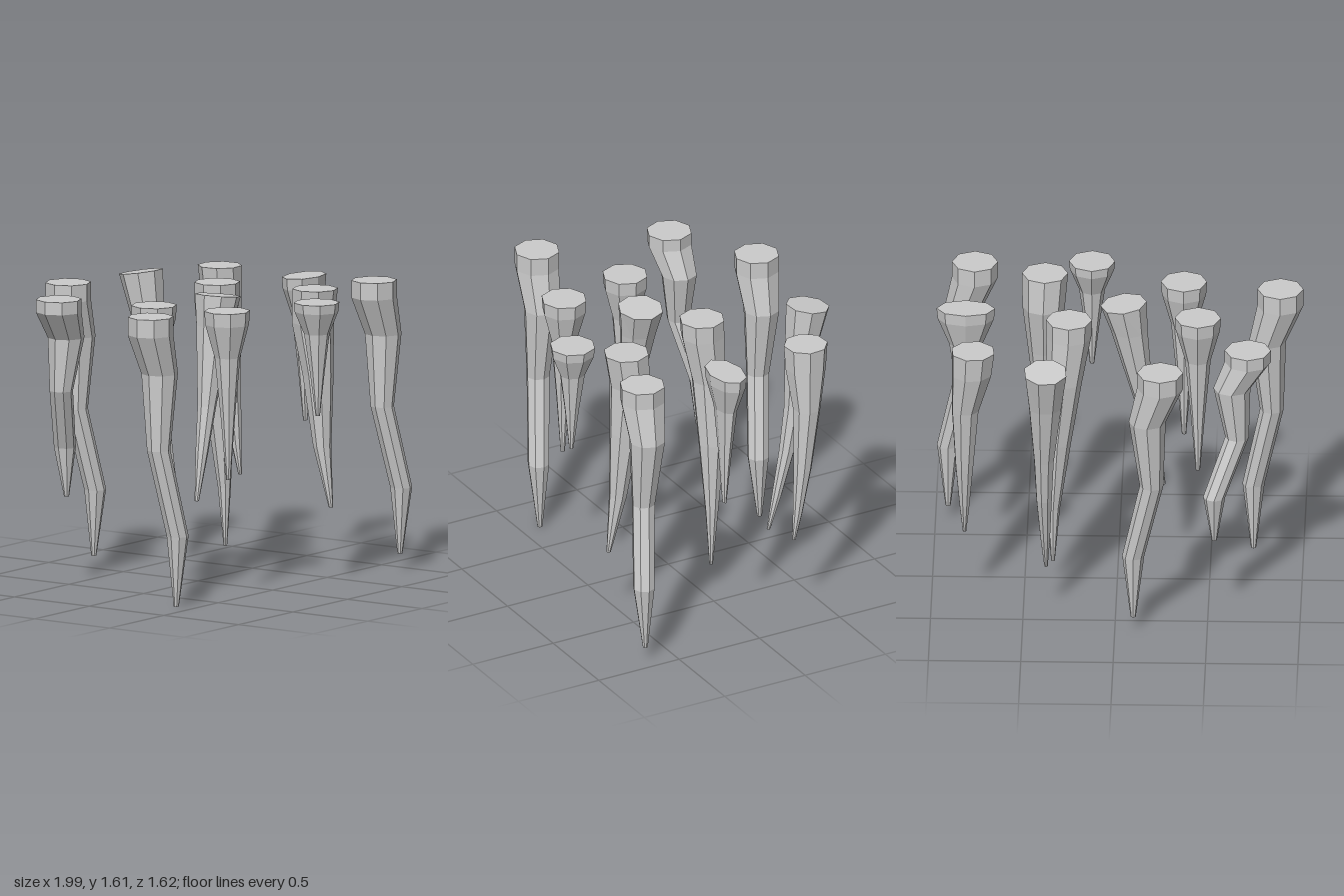
import * as THREE from 'three';

const SIDES = 8;

// Skin a chain of octagonal rings [x, y, z, r], listed top to bottom, closed at both ends
function spike(name, rings, { sx = 1, sz = 1, tiltX = 0, tiltZ = 0, turn = 0 } = {}) {
  const pos = [], index = [];
  rings.forEach(([x, y, z, r], i) => {
    for (let k = 0; k < SIDES; k++) {
      const a = turn + (k / SIDES) * Math.PI * 2;
      const dx = Math.cos(a) * r * sx, dz = Math.sin(a) * r * sz;
      const lift = i === 0 ? dx * tiltX + dz * tiltZ : 0;
      pos.push(x + dx, y + lift, z + dz);
    }
  });
  for (let i = 0; i < rings.length - 1; i++) {
    for (let k = 0; k < SIDES; k++) {
      const a = i * SIDES + k, b = i * SIDES + (k + 1) % SIDES;
      index.push(a, b, a + SIDES, b, b + SIDES, a + SIDES);
    }
  }
  const last = (rings.length - 1) * SIDES;
  for (let k = 1; k < SIDES - 1; k++) {
    index.push(0, k + 1, k, last, last + k, last + k + 1);
  }
  const indexed = new THREE.BufferGeometry();
  indexed.setAttribute('position', new THREE.Float32BufferAttribute(pos, 3));
  indexed.setIndex(index);
  const geo = indexed.toNonIndexed();
  geo.computeVertexNormals();
  const mesh = new THREE.Mesh(geo, new THREE.MeshStandardMaterial({ color: 0xcccccc, flatShading: true }));
  mesh.name = name;
  return mesh;
}

// Shared profiles: [x offset, height fraction, z offset, radius]
const CROOKED = [
  [0, 1, 0, 0.125], [0, 0.938, 0, 0.125], [0.07, 0.8, 0.01, 0.1],
  [0.047, 0.54, 0.02, 0.064], [0.147, 0.241, 0.074, 0.06], [0.147, 0, 0.065, 0.014],
];
const STRAIGHT = [
  [0, 1, 0, 0.125], [0, 0.92, 0, 0.12], [0, 0.725, 0.002, 0.07], [0, 0.38, 0.005, 0.04], [0, 0, 0.008, 0.012],
];

// Place a shared profile with its top at (x, top, z) and its tip at height tip
const place = (profile, x, z, top, tip, mx = 1, mz = 1) =>
  profile.map(([px, h, pz, r]) => [x + px * mx, tip + h * (top - tip), z + pz * mz, r]);

export function createModel() {
  const group = new THREE.Group();
  group.name = 'hangingRoots';

  // Crooked roots
  [
    [-0.875, 0.32, 0, 1, 1], [-0.247, -0.69, 0.09, 1, 1],
    [0.785, 0.607, 0.09, 1, 1], [-0.715, -0.412, 0.49, 1.22, -1.2],
  ].forEach(([x, z, tip, mx, mz], i) =>
    group.add(spike(`crookedRoot${i + 1}`, place(CROOKED, x, z, 1.605, tip, mx, mz))));

  // Straight tapering roots, one of them flattened
  [[-0.435, 0.022, 0.65], [-0.35, 0.45, 0.65], [0.153, 0.682, 0.955]].forEach(([x, z, tip], i) =>
    group.add(spike(`straightRoot${i + 1}`, place(STRAIGHT, x, z, 1.577, tip))));
  group.add(spike('flattenedRoot', place(STRAIGHT, 0.823, 0.11, 1.575, 0.78), { sx: 1.27, sz: 0.76 }));

  // Roots with their own bend
  group.add(spike('leaningRoot', [
    [-0.03, 1.59, 0.155, 0.125], [-0.06, 1.43, 0.155, 0.1], [-0.14, 1.0, 0.162, 0.052],
    [-0.195, 0.75, 0.168, 0.035], [-0.245, 0.49, 0.17, 0.012],
  ], { tiltX: -0.12 }));
  group.add(spike('innerRoot', [
    [0.26, 1.6, -0.062, 0.125], [0.262, 1.5, -0.065, 0.122], [0.285, 1.24, -0.09, 0.096],
    [0.322, 0.87, -0.087, 0.074], [0.345, 0.46, -0.075, 0.036], [0.347, 0.14, -0.07, 0.01],
  ]));
  group.add(spike('frontRoot', [
    [0.403, 1.6, 0.49, 0.125], [0.41, 1.41, 0.47, 0.115], [0.41, 1.13, 0.505, 0.085],
    [0.4, 0.74, 0.54, 0.05], [0.4, 0.41, 0.598, 0.012],
  ]));
  group.add(spike('backRoot', [
    [0.375, 1.582, -0.655, 0.12], [0.378, 1.35, -0.615, 0.092], [0.385, 1.0, -0.565, 0.056],
    [0.385, 0.74, -0.52, 0.044], [0.38, 0.47, -0.458, 0.027], [0.377, 0.28, -0.41, 0.01],
  ], { tiltZ: 0.16, turn: 0.3 }));
  group.add(spike('sideRoot', [
    [0.772, 1.585, -0.417, 0.121], [0.78, 1.45, -0.413, 0.112], [0.815, 1.22, -0.4, 0.076],
    [0.82, 0.86, -0.37, 0.05], [0.82, 0.6, -0.34, 0.027], [0.82, 0.44, -0.316, 0.01],
  ], { turn: 0.3 }));

  return group;
}
